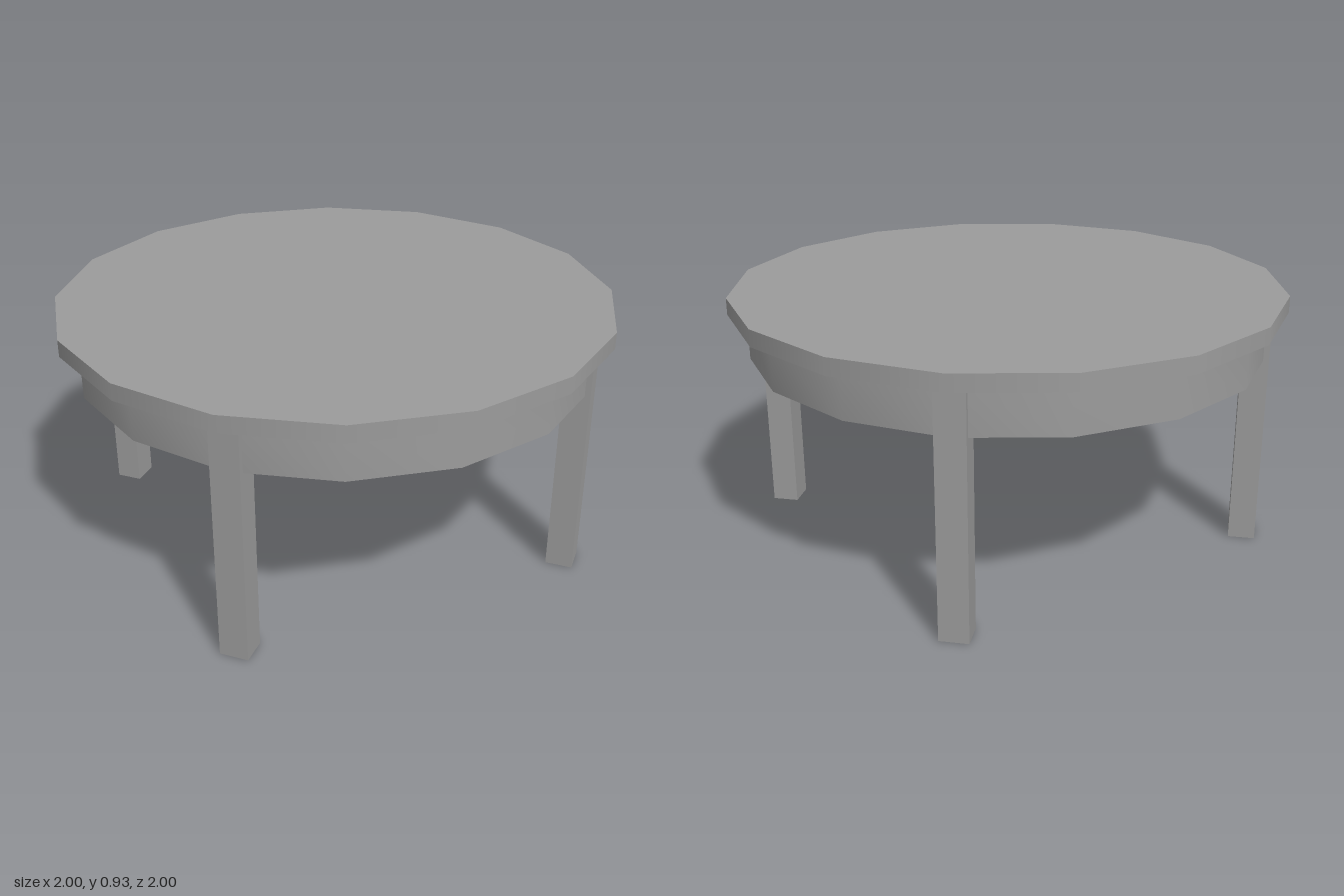
import * as THREE from 'three';
import { toCreasedNormals } from 'three/addons/utils/BufferGeometryUtils.js';

const SIDES = 16;
const TOP_Y = 0.926, UNDERSIDE_Y = 0.866, APRON_Y = 0.7;

export function createModel() {
  const table = new THREE.Group();
  table.name = 'roundTable';
  const material = new THREE.MeshStandardMaterial({ color: 0x9c9c9c, side: THREE.DoubleSide });

  const add = (name, geometry) => {
    const mesh = new THREE.Mesh(geometry, material);
    mesh.name = name;
    table.add(mesh);
    return mesh;
  };

  // Sixteen-sided tabletop
  const top = add('tabletop', new THREE.CylinderGeometry(1, 1, TOP_Y - UNDERSIDE_Y, SIDES));
  top.position.y = (TOP_Y + UNDERSIDE_Y) / 2;

  // Hollow apron ring under the top
  const outer = 0.934, inner = 0.873;
  const profile = [
    [inner, APRON_Y], [outer, APRON_Y], [outer, UNDERSIDE_Y], [inner, UNDERSIDE_Y], [inner, APRON_Y],
  ].map(([r, y]) => new THREE.Vector2(r, y));
  add('apron', toCreasedNormals(new THREE.LatheGeometry(profile, SIDES), Math.PI / 6));

  // Four hollow square legs, open at the foot, on the diagonals and facing outward
  const legWidth = 0.102, legDepth = 0.096, legRadius = 0.896;
  const tube = new THREE.CylinderGeometry(Math.SQRT1_2, Math.SQRT1_2, UNDERSIDE_Y, 4, 1, true, Math.PI / 4);
  const legGeometry = toCreasedNormals(tube.scale(legWidth, 1, legDepth), Math.PI / 6);
  ['frontLeft', 'backLeft', 'backRight', 'frontRight'].forEach((place, i) => {
    const angle = Math.PI / 4 + (i * Math.PI) / 2;
    const leg = add(place + 'Leg', legGeometry);
    leg.position.set(legRadius * Math.sin(angle), UNDERSIDE_Y / 2, legRadius * Math.cos(angle));
    leg.rotation.y = angle;
  });

  return table;
}
